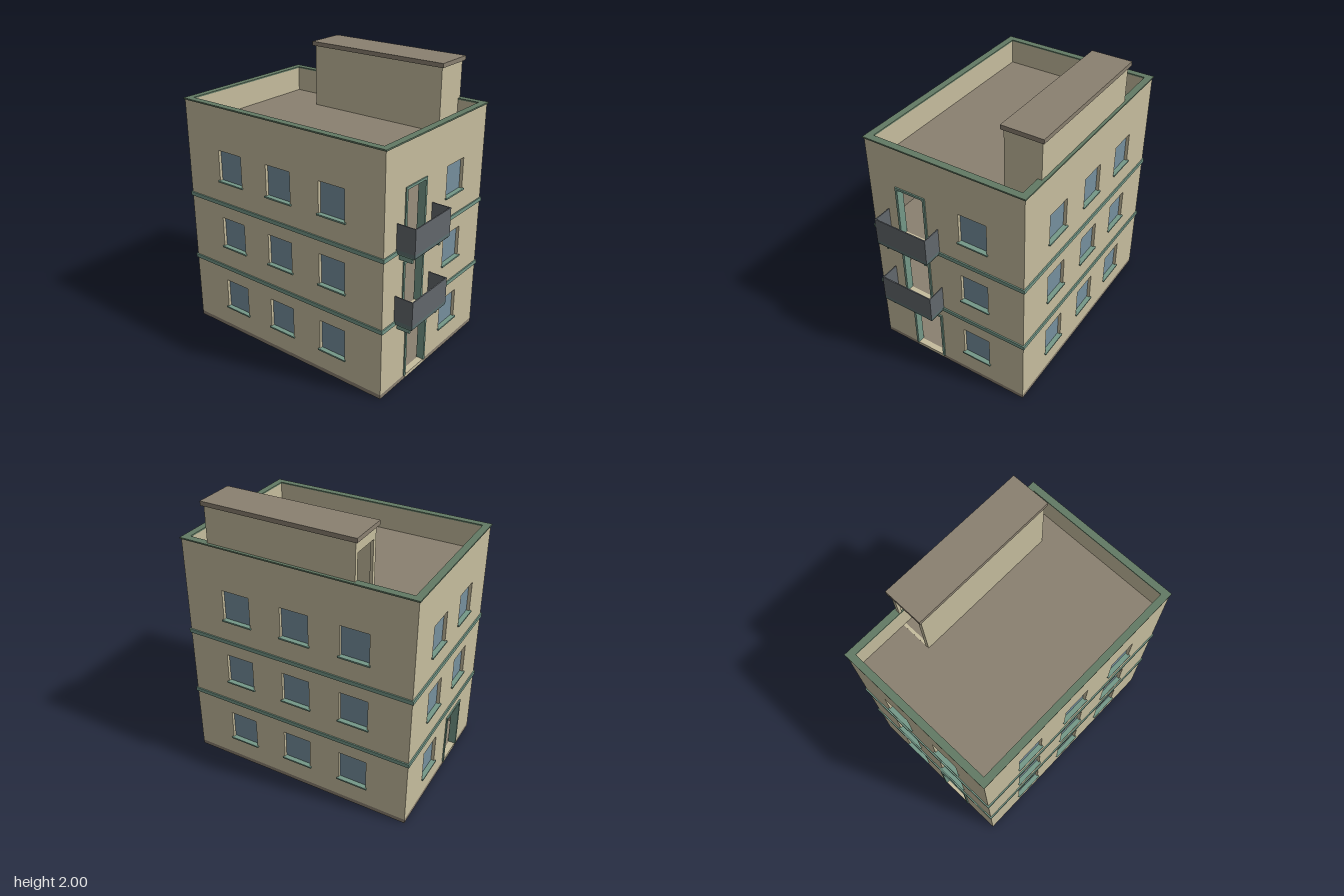
import * as THREE from 'three';

const mat = (name, color, side = THREE.FrontSide) => {
  const m = new THREE.MeshStandardMaterial({ color });
  m.name = name;
  m.side = side;
  return m;
};

export function createModel() {
  const model = new THREE.Group();
  model.name = 'apartmentBlock';

  const plaster = mat('plaster', 0xc6bd9e);
  const concrete = mat('concrete', 0x8a8070);
  const glass = mat('glass', 0x76909e);
  const trim = mat('trim', 0x749888);
  const coping = mat('coping', 0x627a64);
  const railing = mat('railing', 0x62676c);
  const railBase = mat('railBase', 0x5c6e6f);

  const add = (parent, name, geo, material) => {
    const mesh = new THREE.Mesh(geo, material);
    mesh.name = name;
    parent.add(mesh);
    return mesh;
  };
  // Box given by its limits on each axis
  const box = (parent, name, material, x0, x1, y0, y1, z0, z1) => {
    const mesh = add(parent, name, new THREE.BoxGeometry(x1 - x0, y1 - y0, z1 - z0), material);
    mesh.position.set((x0 + x1) / 2, (y0 + y1) / 2, (z0 + z1) / 2);
    return mesh;
  };
  const rect = (Type, [x0, x1, y0, y1]) => {
    const p = new Type();
    p.moveTo(x0, y0);
    p.lineTo(x1, y0);
    p.lineTo(x1, y1);
    p.lineTo(x0, y1);
    p.closePath();
    return p;
  };
  // Upright panel with rectangular openings, from z0 to z1
  const panel = (parent, name, material, outline, holes, z0, z1) => {
    const shape = rect(THREE.Shape, outline);
    shape.holes = holes.map((h) => rect(THREE.Path, h));
    const geo = new THREE.ExtrudeGeometry(shape, { depth: z1 - z0, bevelEnabled: false });
    add(parent, name, geo, material).position.z = z0;
  };
  // Flat rectangular ring lying on a storey line
  const ring = (name, material, outer, inner, y0, y1) => {
    const shape = rect(THREE.Shape, outer);
    shape.holes = [rect(THREE.Path, inner)];
    const geo = new THREE.ExtrudeGeometry(shape, { depth: y1 - y0, bevelEnabled: false });
    geo.rotateX(Math.PI / 2);
    add(model, name, geo, material).position.y = y1;
  };

  const X = 0.585, ZF = 0.775, ZB = -0.89, T = 0.04, BASE = 0.03, ROOF = 1.53, TOP = 1.705;
  const storeys = [0, 0.5, 1];

  // One wall with windows and doors; local z = 0 is its outer face
  const facade = (name, pos, angle, u0, u1, windows, doors) => {
    const g = new THREE.Group();
    g.name = name;
    g.position.set(...pos);
    g.rotation.y = angle;
    model.add(g);
    const holes = [];
    for (const [u, y] of windows) {
      const a = u - 0.103, b = u + 0.103;
      holes.push([a, b, y + 0.18, y + 0.4]);
      box(g, 'windowPane', glass, a, b, y + 0.18, y + 0.4, -0.031, -0.022);
      box(g, 'windowSill', trim, a - 0.01, b + 0.01, y + 0.17, y + 0.181, -0.022, 0.012);
    }
    for (const [a, b, y0, y1] of doors) {
      holes.push([a, b, y0 + 0.001, y1]);
      // Door frame: two jambs and a head
      const w = 0.014;
      box(g, 'doorJamb', trim, a - w, a + 0.003, y0, y1, -T - 0.007, 0.009);
      box(g, 'doorJamb', trim, b - 0.003, b + w, y0, y1, -T - 0.007, 0.009);
      box(g, 'doorHead', trim, a - w, b + w, y1 - 0.003, y1 + w, -T - 0.007, 0.009);
    }
    panel(g, 'wall', plaster, [u0, u1, BASE, TOP], holes, -T, 0);
    panel(g, 'innerLining', concrete, [u0 + 0.001, u1 - 0.001, BASE, ROOF - 0.01], holes, -T - 0.006, -T);
  };

  const grid = (cols) => storeys.flatMap((y) => cols.map((u) => [u, y]));
  const sideCols = [0.38, -0.06, -0.49];
  const balconyDoors = [0.5, 1].map((y) => [-0.357, -0.153, y + 0.03, y + 0.4]);

  facade('frontWall', [0, 0, ZF], 0, -X, X, grid([0.213]),
    [[-0.307, -0.083, BASE, 0.418], ...balconyDoors]);
  facade('backWall', [0, 0, ZB], Math.PI, -X, X,
    [...grid([-0.213]), [0.218, 0.5], [0.218, 1]], [[0.083, 0.307, BASE, 0.418]]);
  facade('leftWall', [X, 0, 0], Math.PI / 2, -ZF + T, -ZB - T, grid(sideCols.map((z) => -z)), []);
  facade('rightWall', [-X, 0, 0], -Math.PI / 2, ZB + T, ZF - T, grid(sideCols), []);

  // Ground slab, floors and roof deck
  box(model, 'groundSlab', concrete, -X, X, 0, BASE, ZB, ZF);
  for (const y of [0.5, 1, 1.5]) {
    box(model, y > 1.4 ? 'roofDeck' : 'floorSlab', concrete, -X + T, X - T, y, y + 0.03, ZB + T, ZF - T);
  }
  // Light thresholds at the two street doors
  box(model, 'frontThreshold', plaster, -0.307, -0.083, 0.008, 0.032, ZF - T, ZF + 0.004);
  box(model, 'backThreshold', plaster, -0.307, -0.083, 0.008, 0.032, ZB - 0.004, ZB + T);

  // Storey bands and parapet coping (limits in x and z)
  const around = (d) => [-X - d, X + d, ZB - d, ZF + d];
  for (const y of [0.496, 0.996]) ring('storeyBand', trim, around(0.009), around(-0.01), y, y + 0.028);
  ring('parapetCoping', coping, around(0.007), around(-0.042), 1.704, 1.714);

  // Balconies: slab, brackets and a solid railing on three sides
  for (const y of [0.5, 1]) {
    const g = new THREE.Group();
    g.name = 'balcony';
    g.position.y = y;
    model.add(g);
    box(g, 'balconySlab', trim, -0.448, -0.057, 0, 0.032, ZF, 0.902);
    for (const x of [-0.41, -0.1]) box(g, 'bracket', trim, x - 0.008, x + 0.008, -0.048, 0, ZF, 0.87);
    const sides = [[-0.453, -0.446], [-0.059, -0.052]];
    for (const [name, m, y0, y1] of [['railingBase', railBase, 0.01, 0.035], ['railing', railing, 0.035, 0.208]]) {
      box(g, name + 'Front', m, -0.453, -0.052, y0, y1, 0.902, 0.91);
      for (const [a, b] of sides) box(g, name + 'Side', m, a, b, y0, y1, ZF, 0.902);
    }
  }

  // Rooftop stair house with an open doorway at the back
  const house = new THREE.Group();
  house.name = 'stairHouse';
  model.add(house);
  const H = 1.97;
  box(house, 'houseFront', plaster, 0.315, 0.572, ROOF, H, 0.555, 0.577);
  box(house, 'houseSide', plaster, 0.315, 0.335, ROOF, H, -0.46, 0.555);
  box(house, 'houseSide', plaster, 0.552, 0.572, ROOF, H, -0.46, 0.555);
  panel(house, 'houseBack', plaster, [0.315, 0.572, ROOF, H], [[0.345, 0.545, ROOF + 0.001, 1.89]], -0.48, -0.46);
  box(house, 'houseRoof', concrete, 0.3, 0.588, H, 2, -0.497, 0.592);

  return model;
}
